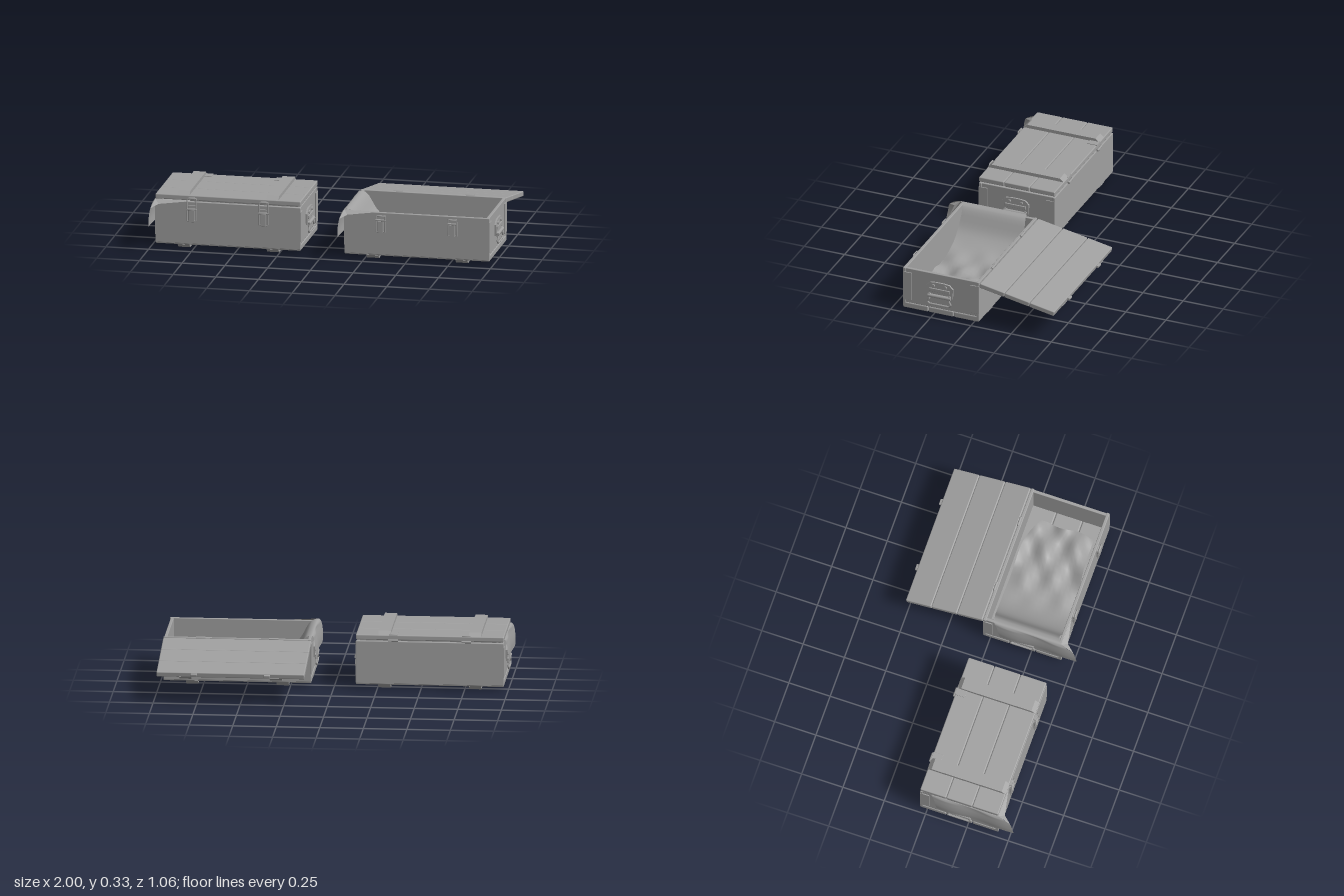
import * as THREE from 'three';
import { RoundedBoxGeometry } from 'three/addons/geometries/RoundedBoxGeometry.js';

const grey = new THREE.MeshStandardMaterial({ color: 0xa0a0a0 });
grey.name = 'plain grey';
const clothGrey = new THREE.MeshStandardMaterial({ color: 0xa0a0a0, side: THREE.DoubleSide });
clothGrey.name = 'cloth grey';

const HX = 0.425, HZ = 0.237; // half length and half depth of a crate

function add(parent, name, geo, x = 0, y = 0, z = 0, mat = grey) {
  const m = new THREE.Mesh(geo, mat);
  m.name = name;
  m.position.set(x, y, z);
  parent.add(m);
  return m;
}
const box = (parent, name, w, h, d, x, y, z) =>
  add(parent, name, new RoundedBoxGeometry(w, h, d, 2, Math.min(w, h, d) * 0.2), x, y, z);

// Flat outline extruded to a thickness, centred on its depth
function slab(points, depth) {
  const shape = new THREE.Shape(points.map(p => new THREE.Vector2(...p)));
  const g = new THREE.ExtrudeGeometry(shape, { depth, bevelEnabled: false });
  return g.translate(0, 0, -depth / 2);
}
function tube(points, radius, closed = false) {
  const path = new THREE.CurvePath();
  const v = points.map(p => new THREE.Vector3(...p));
  for (let i = 0; i < v.length - (closed ? 0 : 1); i++) path.add(new THREE.LineCurve3(v[i], v[(i + 1) % v.length]));
  return new THREE.TubeGeometry(path, 40, radius, 6, closed);
}

// Cross batten with chamfered ends, thick side up or down
function cleat(parent, name, x, y, dir) {
  const g = slab([[-HZ, 0], [HZ, 0], [HZ - 0.025, 0.022], [0.025 - HZ, 0.022]], 0.07);
  const m = add(parent, name, g, x, y, 0);
  m.rotation.set(0, Math.PI / 2, 0);
  if (dir < 0) m.rotation.set(Math.PI, Math.PI / 2, 0);
  return m;
}

// Three boards side by side along the crate
function planks(parent, name, y, h, z0) {
  const w = (2 * HZ) / 3;
  for (let i = 0; i < 3; i++) box(parent, name, 2 * HX, h, w - 0.002, 0, y, z0 + (i - 1) * w);
}

// Carrying handle: shaped plate, rivets and a hanging grip
function handle(parent, side) {
  const g = new THREE.Group();
  g.name = 'handle';
  add(g, 'handlePlate', slab([[-0.08, 0.135], [0.08, 0.135], [0.083, 0.2], [0.06, 0.222], [0.025, 0.226],
    [-0.025, 0.226], [-0.06, 0.222], [-0.083, 0.2]], 0.01), 0, 0, 0.003);
  for (const x of [-0.062, 0.062]) {
    add(g, 'grip', tube([[x, 0.142, 0.008], [x, 0.12, 0.014], [x * 1.18, 0.1, 0.014], [x * 0.95, 0.088, 0.014],
      [0, 0.088, 0.014]], 0.006));
    for (const [rx, ry] of [[x, 0.145], [x * 0.6, 0.203]]) {
      add(g, 'rivet', new THREE.CylinderGeometry(0.01, 0.011, 0.008, 10), rx, ry, 0.01).rotation.x = Math.PI / 2;
    }
  }
  add(g, 'gripBar', new THREE.CylinderGeometry(0.011, 0.011, 0.14, 10), 0, 0.14, 0.011).rotation.z = Math.PI / 2;
  box(g, 'plateRidge', 0.13, 0.02, 0.012, 0, 0.178, 0.008);
  g.rotation.y = side * Math.PI / 2;
  g.position.set(side * HX, 0, 0.005);
  parent.add(g);
}

// Toggle latch on the front wall
function latch(parent, x, closed) {
  const g = new THREE.Group();
  g.name = 'latch';
  box(g, 'latchPlate', 0.044, 0.09, 0.008, 0, 0.21, 0.002);
  box(g, 'latchLever', 0.032, 0.07, 0.01, 0, 0.195, 0.012);
  const top = closed ? 0.3 : 0.262;
  add(g, 'latchLoop', tube([[-0.026, 0.165, 0.012], [-0.026, top, 0.014], [0.026, top, 0.014], [0.026, 0.165, 0.012]], 0.004, true));
  add(g, 'latchPin', new THREE.CylinderGeometry(0.006, 0.006, 0.06, 8), 0, 0.235, 0.012).rotation.z = Math.PI / 2;
  g.position.set(x, 0, HZ);
  parent.add(g);
}

function body(parent) {
  planks(parent, 'floorBoard', 0.038, 0.036, 0);
  const t = 0.018, h = 0.222, y = 0.165;
  for (const s of [-1, 1]) {
    box(parent, 'longWall', 2 * HX, 0.25, t, 0, 0.152, s * (HZ - t / 2));
    box(parent, 'endWall', t, h, 2 * HZ - 0.01, s * (HX - t / 2 - 0.004), y, 0);
    cleat(parent, 'foot', s * 0.26, 0.022, -1);
    for (const e of [-1, 1]) {
      box(parent, 'cornerStrap', 0.006, 0.178, 0.055, s * (HX - 0.001), 0.163, e * (HZ - 0.0275));
    }
    handle(parent, s);
  }
}

// Lid hinged along its back edge at local z = 0
function lid(parent) {
  const g = new THREE.Group();
  g.name = 'lid';
  planks(g, 'lidBoard', 0.015, 0.03, HZ);
  for (const s of [-1, 1]) {
    cleat(g, 'lidCleat', s * 0.26, 0.028, 1).position.z = HZ;
    box(g, 'latchCatch', 0.036, 0.014, 0.016, s * 0.21, 0.012, 2 * HZ + 0.005);
    box(g, 'hingeLeaf', 0.05, 0.006, 0.06, s * 0.21, 0.031, 0.03);
    add(g, 'hingePin', new THREE.CylinderGeometry(0.007, 0.007, 0.055, 8), s * 0.21, 0, -0.005).rotation.z = Math.PI / 2;
  }
  parent.add(g);
  return g;
}

// Lining cloth: hangs outside the left end, folds over the rim, lies inside
function cloth(parent) {
  // each section: x, y, back z, front z
  const rows = [[-0.442, 0.14, -0.13, 0.338], [-0.443, 0.19, -0.14, 0.328], [-0.436, 0.248, -0.15, 0.312],
    [-0.424, 0.285, -0.17, 0.24], [-0.385, 0.275, -0.18, 0.212], [-0.31, 0.16, -0.195, 0.21],
    [-0.2, 0.1, -0.2, 0.205], [0, 0.085, -0.2, 0.2], [0.2, 0.09, -0.195, 0.18], [0.32, 0.08, -0.14, 0.18]];
  const xy = new THREE.CatmullRomCurve3(rows.map(r => new THREE.Vector3(r[0], r[1], r[2])));
  const ends = new THREE.CatmullRomCurve3(rows.map(r => new THREE.Vector3(r[0], r[1], r[3])));
  const nu = 45, nv = 16, a = new THREE.Vector3(), b = new THREE.Vector3();
  const g = new THREE.PlaneGeometry(1, 1, nv, nu);
  const p = g.attributes.position;
  for (let i = 0; i <= nu; i++) {
    xy.getPoint(i / nu, a);
    ends.getPoint(i / nu, b);
    const inside = THREE.MathUtils.smoothstep(a.x, -0.3, 0.1);
    for (let j = 0; j <= nv; j++) {
      const v = j / nv, z = a.z + (b.z - a.z) * v;
      const fold = inside * 0.014 * Math.sin(a.x * 22 + z * 30) + inside * 0.008 * Math.sin(z * 45 - a.x * 14);
      const bulge = a.x < -0.43 ? -0.004 * Math.sin(v * 9) : 0;
      p.setXYZ(i * (nv + 1) + j, a.x + bulge + inside * 0.01 * Math.sin(v * 11), a.y + fold, z);
    }
  }
  g.computeVertexNormals();
  add(parent, 'liningCloth', g, 0, 0, 0, clothGrey);

  // Gathered corner reaching along the front edge
  const c = new THREE.BufferGeometry();
  c.setAttribute('position', new THREE.Float32BufferAttribute([
    -0.25, 0.276, 0.238, -0.424, 0.285, 0.238, -0.4, 0.262, 0.268,
    -0.424, 0.285, 0.238, -0.438, 0.246, 0.314, -0.4, 0.262, 0.268], 3));
  c.computeVertexNormals();
  add(parent, 'clothCorner', c, 0, 0, 0, clothGrey);
}

function crate(name, x, open) {
  const g = new THREE.Group();
  g.name = name;
  body(g);
  for (const s of [-1, 1]) latch(g, s * 0.21, !open);
  const top = lid(g);
  top.position.set(0, open ? 0.275 : 0.284, open ? -HZ - 0.004 : -HZ);
  if (open) top.rotation.x = Math.PI - 0.188;
  cloth(g);
  g.position.set(x, 0, 0.195);
  return g;
}

export function createModel() {
  const model = new THREE.Group();
  model.name = 'supplyCrates';
  model.add(crate('closedCrate', -0.55, false), crate('openCrate', 0.555, true));
  return model;
}
